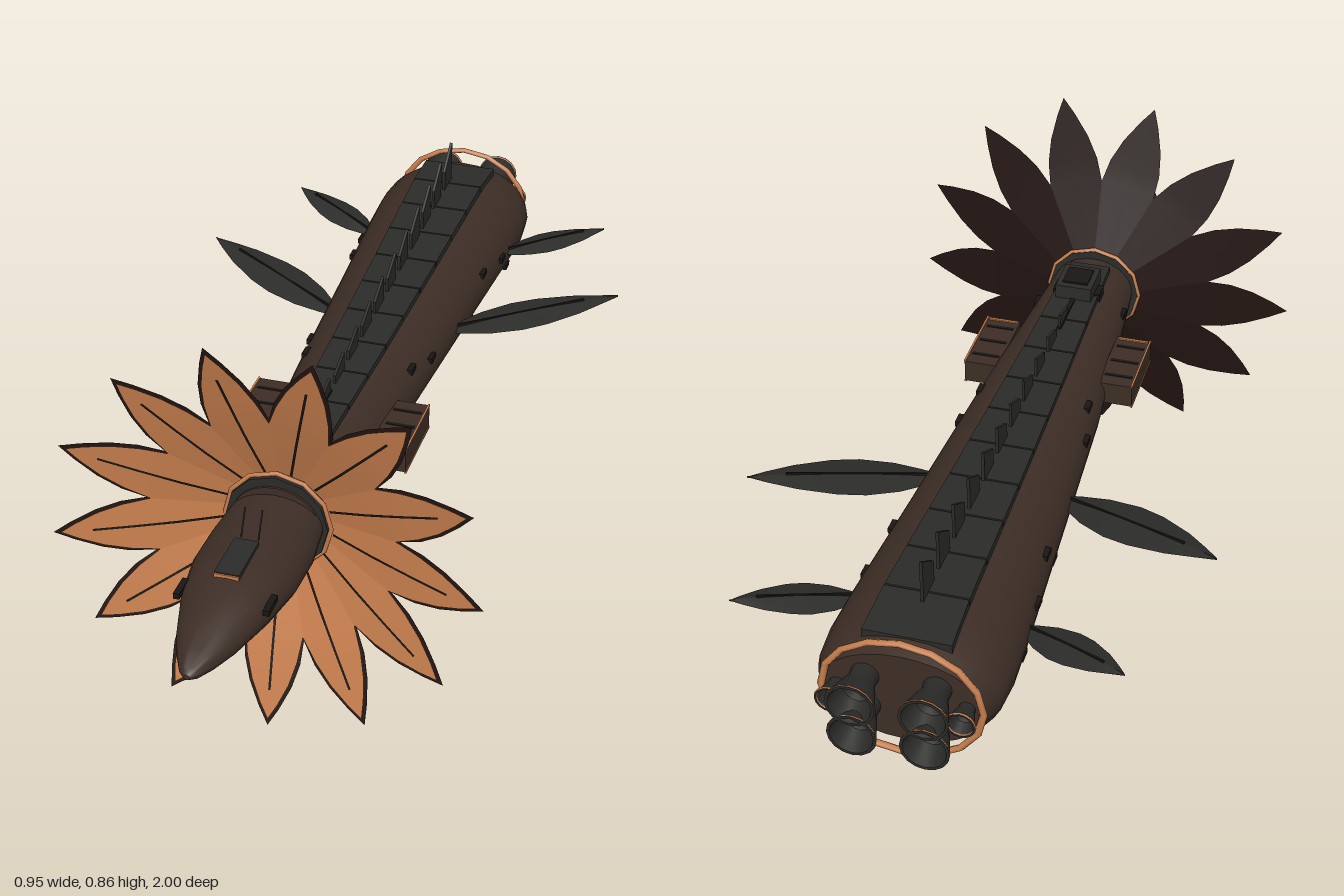
import * as THREE from 'three';
import { toCreasedNormals } from 'three/addons/utils/BufferGeometryUtils.js';

const mat = (color, side = THREE.FrontSide) => new THREE.MeshStandardMaterial({ color, side });
const HULL = mat(0x3d2e26), DARK = mat(0x2b2b29), BLACK = mat(0x191614), COPPER = mat(0xc87f4e);
const BACKING = mat(0x231512, THREE.DoubleSide), BELL = mat(0x2b2b29, THREE.DoubleSide);
const CY = 0.437;

// Hull sections, front to back: z, half width, half height, centre y
const BODY = [
  [0.52, 0.088, 0.076, 0.448], [0.3, 0.108, 0.084, 0.446], [0, 0.135, 0.091, 0.442],
  [-0.4, 0.158, 0.104, 0.443], [-0.7, 0.176, 0.116, 0.445], [-0.8, 0.18, 0.118, 0.445],
  [-0.87, 0.175, 0.112, 0.445], [-0.915, 0.157, 0.1, 0.446],
];
const HEAD = [
  [1, 0.006, 0.005, 0.44], [0.985, 0.02, 0.014, 0.44], [0.95, 0.038, 0.025, 0.441], [0.9, 0.058, 0.039, 0.444],
  [0.8, 0.087, 0.058, 0.449], [0.7, 0.103, 0.064, 0.446], [0.6, 0.104, 0.064, 0.441], [0.48, 0.09, 0.064, 0.445],
];

function bodyAt(z) {
  const i = Math.max(1, BODY.findIndex(s => s[0] <= z));
  const a = BODY[i - 1], b = BODY[i], t = (a[0] - z) / (a[0] - b[0]);
  return a.map((v, k) => v + (b[k] - v) * t);
}

// Closed skin over elliptical sections; n = 4 with a turn of PI/4 gives boxes
function loft(sections, n = 28, turn = 0, crease = 0.6) {
  const pos = [], idx = [], k = turn ? Math.SQRT2 : 1;
  for (const [z, w, h, y] of sections)
    for (let j = 0; j < n; j++) {
      const a = turn + (j / n) * Math.PI * 2;
      pos.push(Math.cos(a) * w * k, y + Math.sin(a) * h * k, z);
    }
  const last = sections.length - 1;
  for (let i = 0; i < last; i++)
    for (let j = 0; j < n; j++) {
      const a = i * n + j, b = i * n + (j + 1) % n;
      idx.push(a, a + n, b, b, a + n, b + n);
    }
  for (let j = 1; j < n - 1; j++) {
    idx.push(0, j, j + 1);
    idx.push(last * n, last * n + j + 1, last * n + j);
  }
  const g = new THREE.BufferGeometry();
  g.setAttribute('position', new THREE.Float32BufferAttribute(pos, 3));
  g.setIndex(idx);
  return toCreasedNormals(g, crease);
}

// Strip along a petal from [radius, half width] pairs, curving forward to the tip
function petalStrip(profile, dz) {
  const pos = [], idx = [];
  profile.forEach(([r, w], i) => {
    const z = 0.49 + 0.11 * Math.pow(Math.max(0, r - 0.095) / 0.34, 0.85) + dz;
    pos.push(-w, r, z, 0, r, z, w, r, z);
    if (!i) return;
    for (let s = 0; s < 2; s++) {
      const a = (i - 1) * 3 + s;
      idx.push(a, a + 1, a + 4, a, a + 4, a + 3);
    }
  });
  const g = new THREE.BufferGeometry();
  g.setAttribute('position', new THREE.Float32BufferAttribute(pos, 3));
  g.setIndex(idx);
  g.computeVertexNormals();
  return g;
}

export function createModel() {
  const root = new THREE.Group();
  const add = (name, geo, material, x = 0, y = 0, z = 0, parent = root) => {
    const m = new THREE.Mesh(geo, material);
    m.name = name;
    m.position.set(x, y, z);
    parent.add(m);
    return m;
  };
  const box = (name, material, w, h, d, x, y, z) => add(name, new THREE.BoxGeometry(w, h, d), material, x, y, z);

  add('hull', loft(BODY), HULL);
  add('head', loft(HEAD), HULL);

  // Petal collar
  const flower = new THREE.Group();
  flower.name = 'flower';
  flower.position.y = CY;
  root.add(flower);
  const outer = [[0.095, 0.0235], [0.25, 0.0617], [0.3, 0.058], [0.35, 0.044], [0.4, 0.021], [0.437, 0]];
  const inner = [[0.095, 0.0235], [0.242, 0.0597], [0.295, 0.052], [0.345, 0.038], [0.39, 0.018], [0.422, 0]];
  const rib = [[0.11, 0.0025], [0.2, 0.0025], [0.28, 0.0025], [0.36, 0.0025]];
  const layers = [
    ['petalBacking', petalStrip(outer, -0.003), BACKING],
    ['petal', petalStrip(inner, 0), COPPER],
    ['petalRib', petalStrip(rib, 0.002), BLACK],
  ];
  for (let i = 0; i < 13; i++)
    for (const [name, geo, material] of layers)
      add(name, geo, material, 0, 0, 0, flower).rotation.z = Math.PI + (i / 13) * Math.PI * 2;

  // Neck ring
  const disc = new THREE.CylinderGeometry(0.104, 0.104, 0.035, 12).rotateX(Math.PI / 2);
  add('neckRing', toCreasedNormals(disc, 0.3), DARK, 0, 0.441, 0.498);
  add('neckTrim', new THREE.TorusGeometry(0.108, 0.005, 6, 12), COPPER, 0, 0.441, 0.506);
  add('neckTrimRear', new THREE.TorusGeometry(0.104, 0.006, 6, 12), COPPER, 0, 0.441, 0.487);

  // Canopy and antennae on the head
  box('canopy', DARK, 0.048, 0.02, 0.11, 0, 0.505, 0.735);
  box('canopyTrim', COPPER, 0.048, 0.008, 0.01, 0, 0.509, 0.788);
  for (const s of [-1, 1]) {
    const rod = add('antenna', new THREE.CylinderGeometry(0.0015, 0.0015, 0.06, 6), BLACK, s * 0.017, 0.53, 0.652);
    rod.rotation.x = -0.5;
    box('headVent', BLACK, 0.012, 0.012, 0.05, s * 0.086, 0.47, 0.8);
  }

  // Tapered deck panels along the spine
  const deckAt = z => {
    const [, , h, y] = bodyAt(z);
    return [z, 0.045 + (0.45 - z) * 0.03, 0.014, y + h - 0.01];
  };
  for (let i = 0; i < 11; i++) {
    const z = 0.45 - i * 0.121;
    add('deckPanel', loft([deckAt(z), deckAt(z - 0.117)], 4, Math.PI / 4), DARK);
  }
  box('deckSeam', BLACK, 0.01, 0.006, 0.12, 0, 0.535, 0.23);

  // Dorsal fins, growing toward the tail
  for (let i = 0; i < 11; i++) {
    const z = 0.175 - i * 0.096, h = 0.036 + i * 0.006;
    const [, , hh, y] = bodyAt(z);
    const fin = new THREE.Shape([[0, -0.01], [0.063, -0.01], [0.063, h * 0.5], [0, h]].map(p => new THREE.Vector2(...p)));
    const geo = new THREE.ExtrudeGeometry(fin, { depth: 0.006, bevelEnabled: false });
    geo.translate(0, 0, -0.003).rotateY(-Math.PI / 2);
    add('dorsalFin', geo, DARK, 0, y + hh, z);
  }

  // Turret at the front of the deck
  box('turret', DARK, 0.08, 0.05, 0.09, 0, 0.54, 0.338);
  box('turretCap', BLACK, 0.056, 0.006, 0.06, 0, 0.566, 0.338);
  for (const s of [-1, 1]) box('turretMount', BLACK, 0.014, 0.024, 0.04, s * 0.046, 0.525, 0.34);

  // Leaf wings
  const leaf = (s, base, tip, width) => {
    const a = new THREE.Vector3(s * base[0], base[1], base[2]);
    const b = new THREE.Vector3(s * tip[0], tip[1], tip[2]);
    const L = a.distanceTo(b);
    const outline = [[1, 0.01], [0.9, 0.3], [0.75, 0.66], [0.55, 0.95], [0.4, 1], [0.22, 0.8], [0.08, 0.45], [0, 0.2]];
    const m = add('leafWing', loft(outline.map(([t, w]) => [t * L, w * width, 0.002 + w * 0.008, 0]), 4, 0, 0.2), DARK, ...a);
    m.lookAt(b);
    const vein = new THREE.BoxGeometry(0.004, 0.022, L * 0.8).translate(0, 0, L * 0.4);
    add('leafVein', vein, BLACK, ...a).lookAt(b);
  };

  for (const s of [-1, 1]) {
    leaf(s, [0.13, 0.445, -0.285], [0.476, 0.5, -0.452], 0.06);
    leaf(s, [0.16, 0.445, -0.675], [0.378, 0.484, -0.79], 0.046);

    // Side pods with copper trim
    box('sidePod', HULL, 0.075, 0.05, 0.18, s * 0.148, 0.453, 0.168);
    box('sidePodTrim', COPPER, 0.066, 0.056, 0.006, s * 0.148, 0.453, 0.25);
    for (const e of [-1, 1]) box('sidePodRail', COPPER, 0.004, 0.004, 0.18, s * 0.185, 0.453 + e * 0.026, 0.168);
    for (const e of [-1, 0, 1]) box('podRib', BLACK, 0.06, 0.053, 0.008, s * 0.148, 0.453, 0.168 + e * 0.055);

    // Small hull fittings
    for (const [z, y] of [[0.36, 0.47], [-0.03, 0.49], [-0.12, 0.47], [-0.5, 0.48], [-0.62, 0.46], [-0.7, 0.4], [-0.42, 0.4]]) {
      const [, w, h, cy] = bodyAt(z);
      box('hullFitting', BLACK, 0.012, 0.012, 0.03, s * w * Math.sqrt(1 - ((y - cy) / h) ** 2), y, z);
    }
    // Belly pods
    box('bellyPod', HULL, 0.05, 0.045, 0.22, s * 0.035, 0.34, -0.13);
    for (let i = 0; i < 4; i++) box('bellyRib', BLACK, 0.053, 0.042, 0.008, s * 0.035, 0.338, -0.05 - i * 0.053);
    box('bellyTrim', COPPER, 0.052, 0.004, 0.222, s * 0.035, 0.322, -0.13);
  }
  box('bellyHatch', BLACK, 0.1, 0.01, 0.12, 0, 0.335, -0.5);

  // Tail ring and engine bells
  add('tailRing', new THREE.TorusGeometry(0.15, 0.007, 6, 16), COPPER, 0, 0.447, -0.917).scale.set(1.02, 0.88, 1);
  const bell = (x, y, r, end) => {
    const len = -0.9 - end;
    const pts = [[0.001, 0], [0.6, 0], [0.55, 0.35], [0.75, 0.6], [1, 1], [0.88, 1], [0.6, 0.55], [0.001, 0.4]]
      .map(([a, t]) => new THREE.Vector2(a * r, t * len));
    add('engineBell', toCreasedNormals(new THREE.LatheGeometry(pts, 16).rotateX(-Math.PI / 2), 0.6), BELL, x, y, -0.9);
    add('engineRim', new THREE.TorusGeometry(r * 0.94, 0.003, 6, 16), COPPER, x, y, end + 0.003);
  };
  for (const s of [-1, 1]) {
    for (const e of [-1, 1]) bell(s * 0.068, 0.452 + e * 0.036, 0.047, -1);
    bell(s * 0.122, 0.452, 0.028, -0.96);
  }
  return root;
}
